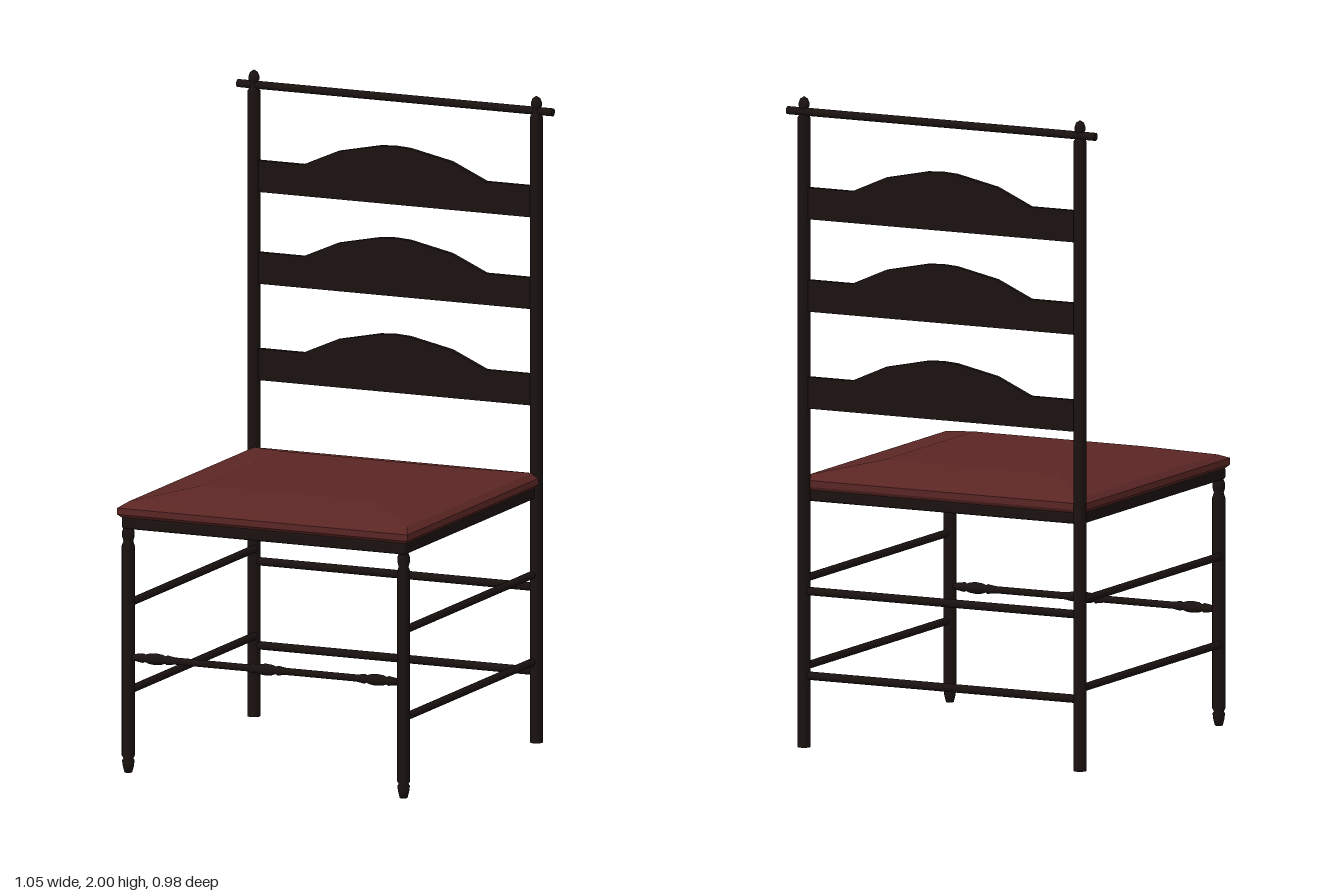
import * as THREE from 'three';
import { RoundedBoxGeometry } from 'three/addons/geometries/RoundedBoxGeometry.js';

const wood = new THREE.MeshStandardMaterial({ color: 0x1a1210 });
const leather = new THREE.MeshStandardMaterial({ color: 0x5a2624, flatShading: true });

export function createModel() {
  const chair = new THREE.Group();
  chair.name = 'ladderBackChair';

  const add = (name, geometry, x, y, z, material = wood) => {
    const mesh = new THREE.Mesh(geometry, material);
    mesh.name = name;
    mesh.position.set(x, y, z);
    chair.add(mesh);
    return mesh;
  };
  // Turned piece from [radius, height] pairs
  const turned = (profile) =>
    new THREE.LatheGeometry(profile.map(([r, h]) => new THREE.Vector2(r, h)), 16);
  const rod = (name, length, r, x, y, z, axis) => {
    const mesh = add(name, new THREE.CylinderGeometry(r, r, length, 12), x, y, z);
    if (axis === 'x') mesh.rotation.z = Math.PI / 2;
    else mesh.rotation.x = Math.PI / 2;
    return mesh;
  };

  // Posts with finials, turned front legs and side stretchers
  const post = turned([[0, 0], [0.02, 0], [0.02, 1.935], [0.012, 1.945], [0.011, 1.96],
    [0.016, 1.968], [0.017, 1.978], [0.012, 1.992], [0, 2]]);
  const leg = turned([[0, 0], [0.012, 0], [0.017, 0.02], [0.019, 0.037], [0.015, 0.043], [0.02, 0.052],
    [0.02, 0.7], [0.015, 0.715], [0.019, 0.73], [0.019, 0.745], [0.015, 0.755], [0.015, 0.77]]);
  for (const side of [-1, 1]) {
    add('backPost', post, side * 0.472, 0, -0.47);
    add('frontLeg', leg, side * 0.46, 0, 0.46);
    for (const y of [0.52, 0.25]) rod('sideStretcher', 0.93, 0.012, side * 0.465, y, -0.005, 'z');
  }

  // Back stretchers and the top rail
  for (const y of [0.48, 0.22]) rod('backStretcher', 0.94, 0.013, 0, y, -0.47, 'x');
  rod('topRail', 1.054, 0.0125, 0, 1.953, -0.472, 'x');

  // Front stretcher with three turned swellings
  const profile = [[0.011, -0.46]];
  for (const c of [-0.37, 0, 0.37]) {
    for (const [d, r] of [[-0.065, 0.011], [-0.04, 0.015], [-0.034, 0.011], [-0.02, 0.016], [0, 0.018],
      [0.02, 0.016], [0.034, 0.011], [0.04, 0.015], [0.065, 0.011]]) profile.push([r, c + d]);
  }
  profile.push([0.011, 0.46]);
  add('frontStretcher', turned(profile), 0, 0.357, 0.46).rotation.z = Math.PI / 2;

  // Arched back slats
  const arch = new THREE.Shape();
  arch.moveTo(-0.465, 0);
  arch.lineTo(0.465, 0);
  for (const [x, y] of [[0.465, 0.097], [0.305, 0.097], [0.19, 0.148], [0.05, 0.177], [0, 0.18],
    [-0.05, 0.177], [-0.19, 0.148], [-0.305, 0.097], [-0.465, 0.097]]) arch.lineTo(x, y);
  const slat = new THREE.ExtrudeGeometry(arch, { depth: 0.016, bevelEnabled: false });
  for (const y of [1.042, 1.34, 1.624]) add('backSlat', slat, 0, y, -0.478);

  // Seat frame
  add('seatFrame', new RoundedBoxGeometry(0.95, 0.038, 0.945, 2, 0.008), 0, 0.774, 0.0075);

  // Cushion: stacked rectangles [half width, front z, back z, y]
  const rings = [[0.472, 0.475, -0.462, 0.788], [0.485, 0.487, -0.47, 0.8], [0.485, 0.487, -0.47, 0.82],
    [0.464, 0.445, -0.455, 0.835], [0.29, 0.29, -0.28, 0.87]];
  const points = [];
  const index = [];
  rings.forEach(([w, f, b, y], i) => {
    points.push(-w, y, f, w, y, f, w, y, b, -w, y, b);
    if (i === 0) return;
    for (let k = 0; k < 4; k++) {
      const n = (k + 1) % 4;
      const low = (i - 1) * 4, high = i * 4;
      index.push(low + k, low + n, high + n, low + k, high + n, high + k);
    }
  });
  const top = (rings.length - 1) * 4;
  index.push(0, 2, 1, 0, 3, 2, top, top + 1, top + 2, top, top + 2, top + 3);
  const cushion = new THREE.BufferGeometry();
  cushion.setAttribute('position', new THREE.Float32BufferAttribute(points, 3));
  cushion.setIndex(index);
  cushion.computeVertexNormals();
  add('seatCushion', cushion, 0, 0, 0, leather);

  return chair;
}
